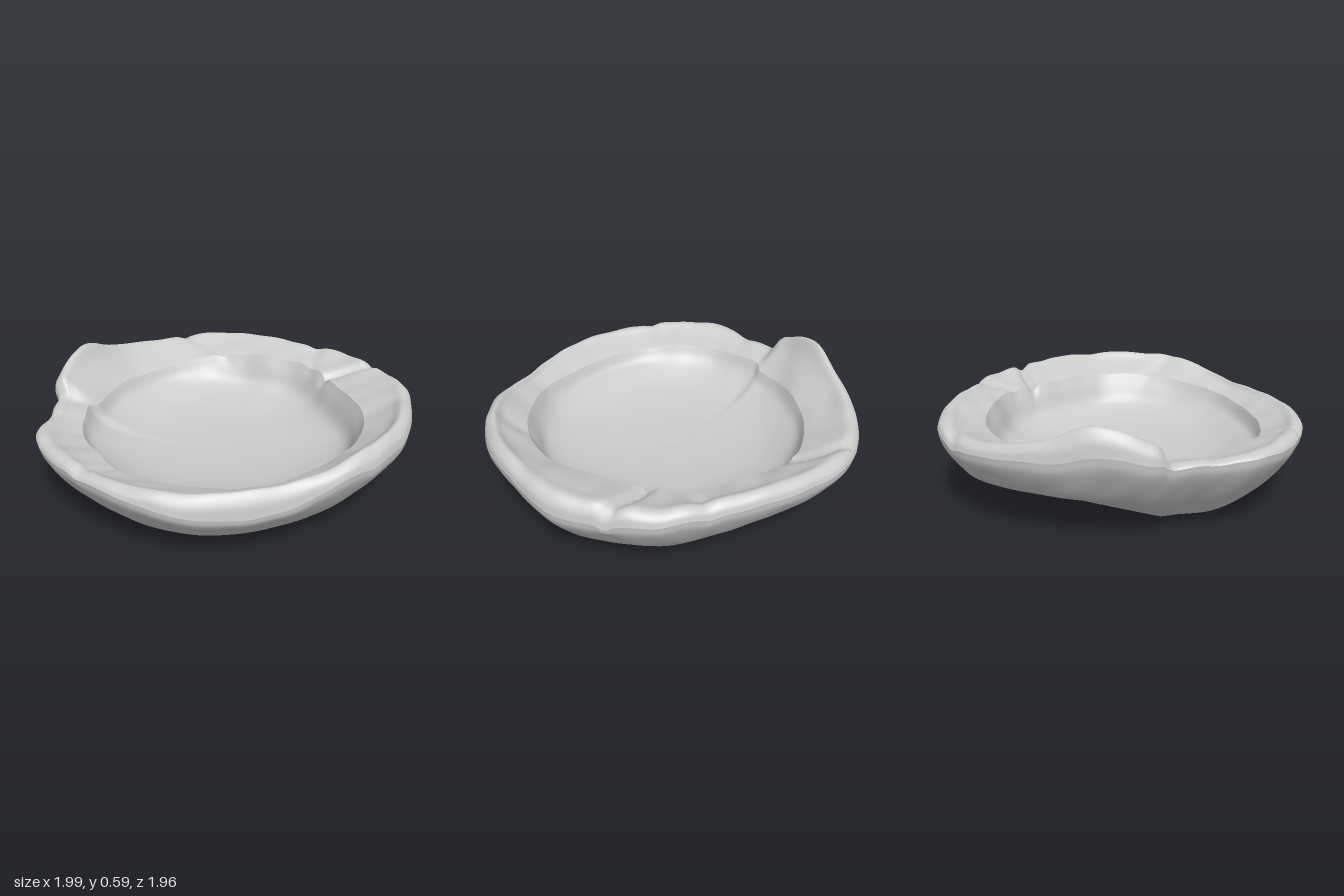
import * as THREE from 'three';

// Rim measurements every 15 degrees, starting at +x and turning towards +z
const OUTER_R = [.985, 1, 1.04, 1.02, 1.02, 1, .97, .935, .94, .97, .98, .985, 1, 1, .915, .955, .95, .955, .98, 1, 1, .96, .93, .93];
const OUTER_Y = [.42, .4, .41, .45, .44, .43, .4, .32, .29, .32, .36, .38, .38, .39, .38, .43, .46, .42, .4, .4, .41, .42, .42, .42];
const CREST_Y = [.48, .49, .5, .51, .52, .52, .46, .43, .42, .41, .41, .41, .42, .41, .4, .51, .59, .52, .46, .45, .46, .47, .48, .48];
const INNER_R = [.72, .7, .72, .77, .79, .79, .78, .78, .76, .75, .76, .77, .76, .76, .74, .7, .7, .7, .71, .72, .74, .73, .71, .73];
const INNER_Y = [.42, .42, .42, .42, .41, .4, .38, .36, .34, .34, .34, .35, .36, .36, .36, .35, .35, .35, .35, .36, .38, .4, .42, .42];

// Smooth periodic lookup, with a sharp break where the tall rim fragment starts
function sample(table, deg) {
  const n = table.length, f = deg / 15, i = Math.floor(f);
  const t = i === 14 ? THREE.MathUtils.smoothstep(f - i, .65, 1) : f - i;
  const [a, b, c, d] = [-1, 0, 1, 2].map(k => table[(i + k + n) % n]);
  return b + .5 * t * (c - a + t * (2 * a - 5 * b + 4 * c - d + t * (3 * (b - c) + d - a)));
}

// Cracks across the rim: angle, width, depth, twist along the radius
const CRACKS = [[13, 2, .035, 30], [292, 3, .025, -70], [168, 2, .015, 10], [76, 4, .012, 50], [345, 3, .015, -40]];

// Chipped, uneven stone surface
function weather(p, deg, strength) {
  const r = Math.hypot(p.x, p.z);
  const n = Math.sin(p.x * 9 + 2 * Math.sin(p.z * 5)) * Math.sin(p.z * 8 + p.y * 6 + 1)
    + .5 * Math.sin(p.x * 19 - p.z * 13 + p.y * 11) * Math.sin(p.z * 23 + p.x * 7);
  p.y += n * .008 * strength;
  const rimness = THREE.MathUtils.smoothstep(p.y, .3, .42) * strength;
  for (const [a, w, depth, twist] of CRACKS) {
    const d = ((deg - a - twist * (r - .95) + 540) % 360) - 180;
    p.y -= depth * rimness * Math.exp(-(d * d) / (w * w));
  }
}

// Broken underside: a slope at the back and a ledged fracture at the back left
function undercut(x, z) {
  const q = z + .15 * x;
  const back = q > -.72 ? (-.4 - q) * .56 : .18 + (-.72 - q) * .22;
  const d = (x - z) * Math.SQRT1_2, side = (x + z) * Math.SQRT1_2;
  const ledges = .014 * Math.sin(d * 26 + side * 3) * THREE.MathUtils.smoothstep(d, .4, .55);
  const fracture = (d - .4) * .5 + ledges - .5 * side * side;
  return Math.max(0, back, fracture);
}

// Rounded maximum, so the fracture blends into the wall
const softMax = (a, b) => b <= 0 ? a : .5 * (a + b + Math.sqrt((a - b) ** 2 + .0004 * Math.min(1, b * 20)));

// Key points (radius, height) of one section of the wall
function keyPoints(part, deg) {
  const R = sample(OUTER_R, deg), E = sample(OUTER_Y, deg), H = sample(CREST_Y, deg);
  const I = sample(INNER_R, deg), L = sample(INNER_Y, deg);
  const edge = [R, E], lip = [I, L], foot = [.635 * R, .005];
  switch (part) {
    case 'base': return [[0, 0], [.35 * R, 0], foot];
    case 'outerWall': return [foot, [.715 * R, .042], [.835 * R, E * .36], [.93 * R, E * .64], [R * .99, E * .88], edge];
    case 'rim': return [edge, [R * .987, E * .4 + H * .6], [R * .945, H], [R * .55 + I * .45, H * .65 + L * .35], lip];
    default: return [lip, [I * .955, L - .065], [I * .88, .245], [I * .7, .185], [I * .4, .148], [0, .135]];
  }
}

// Sweeps a section round the vertical axis
function sweep(part, steps, sides = 216) {
  const pos = [], index = [];
  const underside = part === 'base' || part === 'outerWall';
  for (let i = 0; i < sides; i++) {
    const deg = i * 360 / sides, a = THREE.MathUtils.degToRad(deg);
    const points = keyPoints(part, deg).map(([r, y]) => new THREE.Vector3(r, y, 0));
    const curve = new THREE.CatmullRomCurve3(points, false, 'centripetal');
    for (let j = 0; j <= steps; j++) {
      const s = curve.getPoint(j / steps);
      const p = new THREE.Vector3(s.x * Math.cos(a), s.y, s.x * Math.sin(a));
      const [low, high] = part === 'basin' ? [.2, .34] : [.01, .28];
      weather(p, deg, THREE.MathUtils.smoothstep(p.y, low, high));
      if (underside && p.y < .36) p.y = softMax(p.y, undercut(p.x, p.z));
      pos.push(p.x, p.y, p.z);
      if (j < steps) {
        const k = i * (steps + 1) + j, n = ((i + 1) % sides) * (steps + 1) + j;
        index.push(k, k + 1, n, k + 1, n + 1, n);
      }
    }
  }
  const g = new THREE.BufferGeometry();
  g.setAttribute('position', new THREE.Float32BufferAttribute(pos, 3));
  g.setIndex(index);
  g.computeVertexNormals();
  return g;
}

export function createModel() {
  const group = new THREE.Group();
  group.name = 'stoneBowl';
  const stone = new THREE.MeshStandardMaterial({ color: 0xcccccc, roughness: .9 });
  // Base, outside, broken rim and hollow
  for (const [part, steps] of [['base', 24], ['outerWall', 24], ['rim', 18], ['basin', 24]]) {
    const mesh = new THREE.Mesh(sweep(part, steps), stone);
    mesh.name = part;
    group.add(mesh);
  }
  return group;
}
